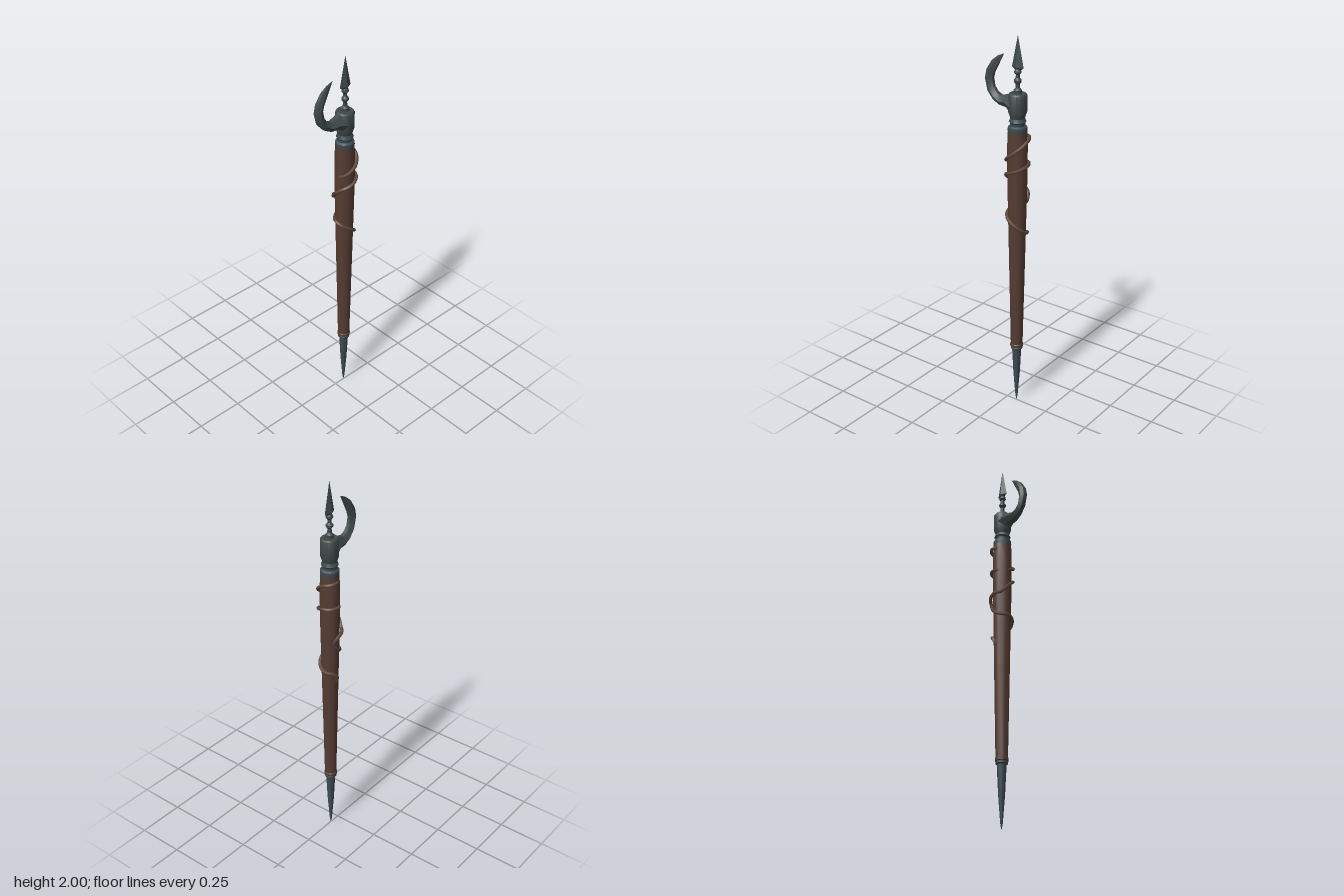
import * as THREE from 'three';
import { toCreasedNormals } from 'three/addons/utils/BufferGeometryUtils.js';

const AXIS_X = 0.06;

function material(name, color, flat = false) {
  const m = new THREE.MeshStandardMaterial({ color, flatShading: flat });
  m.name = name;
  return m;
}

// Turned part: profile is [radius, y] from bottom to top
function turned(name, profile, sides, mat) {
  const points = profile.map(([r, y]) => new THREE.Vector2(r, y));
  const geometry = toCreasedNormals(new THREE.LatheGeometry(points, sides), 0.65);
  const mesh = new THREE.Mesh(geometry, mat);
  mesh.name = name;
  return mesh;
}

// Hook swept through sections [outerX, outerY, innerX, innerY, halfDepth]
function hookGeometry(sections) {
  const rings = sections.map(([ox, oy, ix, iy, w]) =>
    [[0, 0.55], [0.45, 1], [1, 0.4], [1, -0.4], [0.45, -1], [0, -0.55]].map(([t, d]) =>
      [ox + (ix - ox) * t, oy + (iy - oy) * t, w * d]));
  const positions = [];
  for (let i = 0; i < rings.length - 1; i++) {
    const a = rings[i], b = rings[i + 1];
    for (let j = 0; j < 6; j++) {
      const k = (j + 1) % 6;
      positions.push(...a[j], ...a[k], ...b[k], ...a[j], ...b[k], ...b[j]);
    }
  }
  const geometry = new THREE.BufferGeometry();
  geometry.setAttribute('position', new THREE.Float32BufferAttribute(positions, 3));
  geometry.computeVertexNormals();
  return toCreasedNormals(geometry, 0.5);
}

const shaftRadius = (y) => THREE.MathUtils.lerp(0.031, 0.05, THREE.MathUtils.clamp((y - 0.36) / 0.95, 0, 1));

// Vine path from turns [degrees, y, offset from the bark]; 0 is +x, 90 is the front
function vineCurve(turns) {
  const guide = new THREE.CatmullRomCurve3(turns.map(([a, y, o]) => new THREE.Vector3(a / 360, y, o)));
  const points = guide.getPoints(110).map((p) => {
    const angle = p.x * Math.PI * 2, r = shaftRadius(p.y) + p.z;
    return new THREE.Vector3(Math.cos(angle) * r, p.y, Math.sin(angle) * r);
  });
  return new THREE.CatmullRomCurve3(points);
}

export function createModel() {
  const steel = material('dark steel', 0x3f4a49);
  const blueSteel = material('blue steel', 0x3d4b50);
  const wood = material('brown wood', 0x553c32);
  const bark = material('vine bark', 0x5f4638);

  const group = new THREE.Group();
  const staff = new THREE.Group();
  staff.name = 'staff';
  staff.position.x = AXIS_X;
  group.add(staff);

  // Bottom spike and its ferrule
  staff.add(turned('bottomSpike', [[0, 0], [0.006, 0.03], [0.017, 0.17], [0.024, 0.315], [0.026, 0.335], [0, 0.335]], 12, blueSteel));
  staff.add(turned('ferruleRing', [[0.024, 0.32], [0.031, 0.326], [0.031, 0.335], [0.027, 0.339]], 14, steel));
  staff.add(turned('woodRing', [[0.026, 0.336], [0.034, 0.34], [0.034, 0.353], [0.028, 0.36]], 14, wood));

  // Tapered shaft
  staff.add(turned('shaft', [[0, 0.352], [0.031, 0.354], [0.0405, 0.83], [0.0455, 1.08], [0.05, 1.31], [0.05, 1.46], [0.047, 1.53], [0, 1.533]], 14, wood));

  // Metal collar between shaft and socket
  staff.add(turned('collar', [[0.044, 1.515], [0.048, 1.533], [0.047, 1.553], [0.037, 1.56], [0.037, 1.572], [0.043, 1.58], [0.032, 1.605], [0.032, 1.62]], 14, blueSteel));
  staff.add(turned('socket', [[0.034, 1.592], [0.038, 1.605], [0.046, 1.628], [0.046, 1.712], [0.041, 1.719], [0, 1.719]], 14, steel));

  // Beaded neck below the spear point
  staff.add(turned('neck', [[0.021, 1.715], [0.02, 1.735], [0.011, 1.745], [0.01, 1.765], [0.018, 1.775], [0.018, 1.785],
    [0.01, 1.795], [0.01, 1.81], [0.018, 1.82], [0.017, 1.83], [0.011, 1.838], [0.011, 1.86]], 10, steel));

  // Flat four-sided spear point with a short back taper
  const flatSteel = steel;
  const addPoint = (name, top, bottom, height, y) => {
    const geometry = toCreasedNormals(new THREE.CylinderGeometry(top, bottom, height, 4), 0.3);
    geometry.scale(0.034, 1, 0.016);
    const mesh = new THREE.Mesh(geometry, flatSteel);
    mesh.name = name;
    mesh.position.y = y + height / 2;
    staff.add(mesh);
  };
  addPoint('spearPoint', 0, 1, 0.155, 1.845);
  addPoint('spearPointBase', 1, 0.6, 0.01, 1.835);

  // Curved hook growing from the socket
  const hook = new THREE.Mesh(hookGeometry([
    [0.06, 1.605, 0.06, 1.717, 0.045],
    [0.03, 1.622, 0.03, 1.714, 0.043],
    [0.005, 1.645, 0.005, 1.703, 0.036],
    [-0.04, 1.648, -0.035, 1.692, 0.029],
    [-0.08, 1.668, -0.06, 1.705, 0.024],
    [-0.112, 1.705, -0.078, 1.73, 0.021],
    [-0.127, 1.765, -0.086, 1.77, 0.021],
    [-0.118, 1.81, -0.077, 1.8, 0.02],
    [-0.088, 1.858, -0.055, 1.838, 0.014],
    [-0.056, 1.884, -0.038, 1.867, 0.007],
    [-0.02, 1.9, -0.02, 1.899, 0.001],
  ]), steel);
  hook.name = 'hook';
  group.add(hook);

  // Vine winding round the shaft, dipping into the wood at its ends
  const vine = new THREE.Mesh(new THREE.TubeGeometry(vineCurve([
    [-110, 1.495, -0.014], [-70, 1.5, 0.006], [0, 1.485, 0.007], [45, 1.455, 0.008], [90, 1.42, 0.01],
    [140, 1.385, 0.006], [185, 1.37, -0.012], [225, 1.365, -0.016], [270, 1.365, 0.003], [360, 1.36, 0.007],
    [450, 1.33, 0.006], [500, 1.31, 0.007], [540, 1.28, 0.008], [585, 1.235, 0.006], [620, 1.225, 0.016],
    [650, 1.2, 0.016], [662, 1.17, 0.008], [640, 1.135, 0.005], [590, 1.11, 0.002], [540, 1.105, 0.007],
    [450, 1.06, 0.006], [360, 1.005, 0.007], [300, 0.99, 0.007], [275, 0.965, 0.006], [268, 0.93, -0.008],
  ]), 240, 0.0085, 6, false), bark);
  vine.name = 'vine';
  staff.add(vine);

  return group;
}
